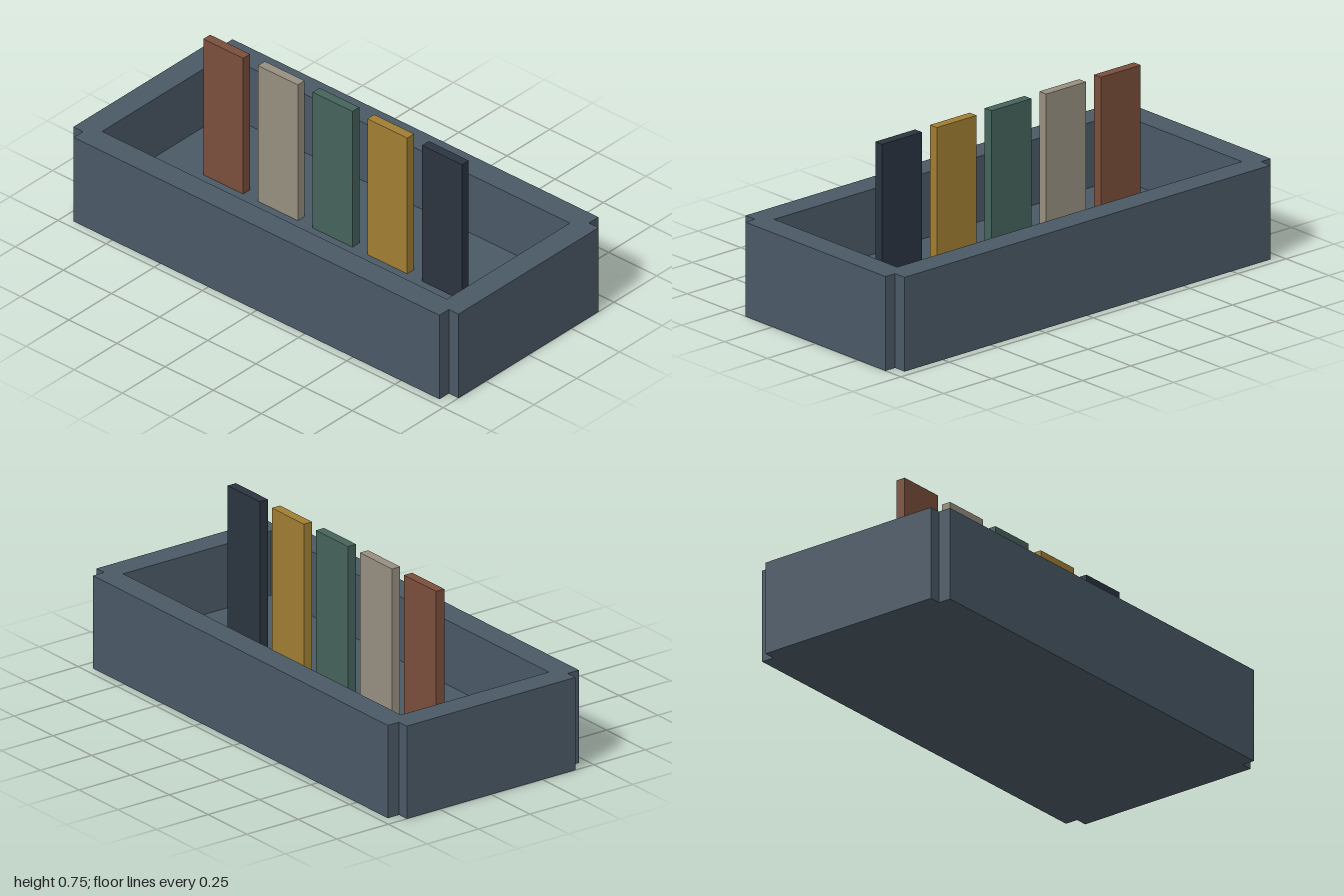
import * as THREE from 'three';

const HEIGHT = 0.39, FLOOR = 0.12;
const OUTER_X = 1, OUTER_Z = 0.465;   // outer faces of the walls
const INNER_X = 0.895, INNER_Z = 0.36; // inner faces of the walls
const NOTCH_X = 0.05, NOTCH_Z = 0.055; // stepped corners

function material(name, color) {
  const m = new THREE.MeshStandardMaterial({ color });
  m.name = name;
  return m;
}

// Rectangle with a square step cut from each corner
function trayOutline() {
  const x = OUTER_X, z = OUTER_Z, a = x - NOTCH_X, b = z - NOTCH_Z;
  return new THREE.Shape([
    [a, -z], [a, -b], [x, -b], [x, b], [a, b], [a, z],
    [-a, z], [-a, b], [-x, b], [-x, -b], [-a, -b], [-a, -z],
  ].map(([px, py]) => new THREE.Vector2(px, py)));
}

// Extrude a plan shape upward from y0 to y1
function slab(shape, y0, y1) {
  const g = new THREE.ExtrudeGeometry(shape, { depth: y1 - y0, bevelEnabled: false });
  g.rotateX(-Math.PI / 2);
  g.translate(0, y0, 0);
  return g;
}

export function createModel() {
  const group = new THREE.Group();
  group.name = 'sampleTray';

  const add = (name, geometry, mat) => {
    const mesh = new THREE.Mesh(geometry, mat);
    mesh.name = name;
    group.add(mesh);
    return mesh;
  };

  // Open tray: solid floor and a ring of walls
  const slate = material('slate', 0x4a5966);
  add('trayFloor', slab(trayOutline(), 0, FLOOR), slate);

  const ring = trayOutline();
  ring.holes.push(new THREE.Path([
    new THREE.Vector2(-INNER_X, -INNER_Z), new THREE.Vector2(-INNER_X, INNER_Z),
    new THREE.Vector2(INNER_X, INNER_Z), new THREE.Vector2(INNER_X, -INNER_Z),
  ]));
  add('trayWalls', slab(ring, FLOOR, HEIGHT), slate);

  // Row of upright swatch panels standing on the floor
  const TOP = 0.75;
  const panel = new THREE.BoxGeometry(0.207, TOP - FLOOR, 0.04);
  const swatches = [
    ['brown', 0x7a4e3b], ['beige', 0x978f80], ['green', 0x45635c],
    ['gold', 0xa17e33], ['navy', 0x2b3440],
  ];
  swatches.forEach(([name, color], i) => {
    add(name + 'Panel', panel, material(name, color))
      .position.set((i - 2) * 0.284, (TOP + FLOOR) / 2, 0);
  });

  return group;
}
